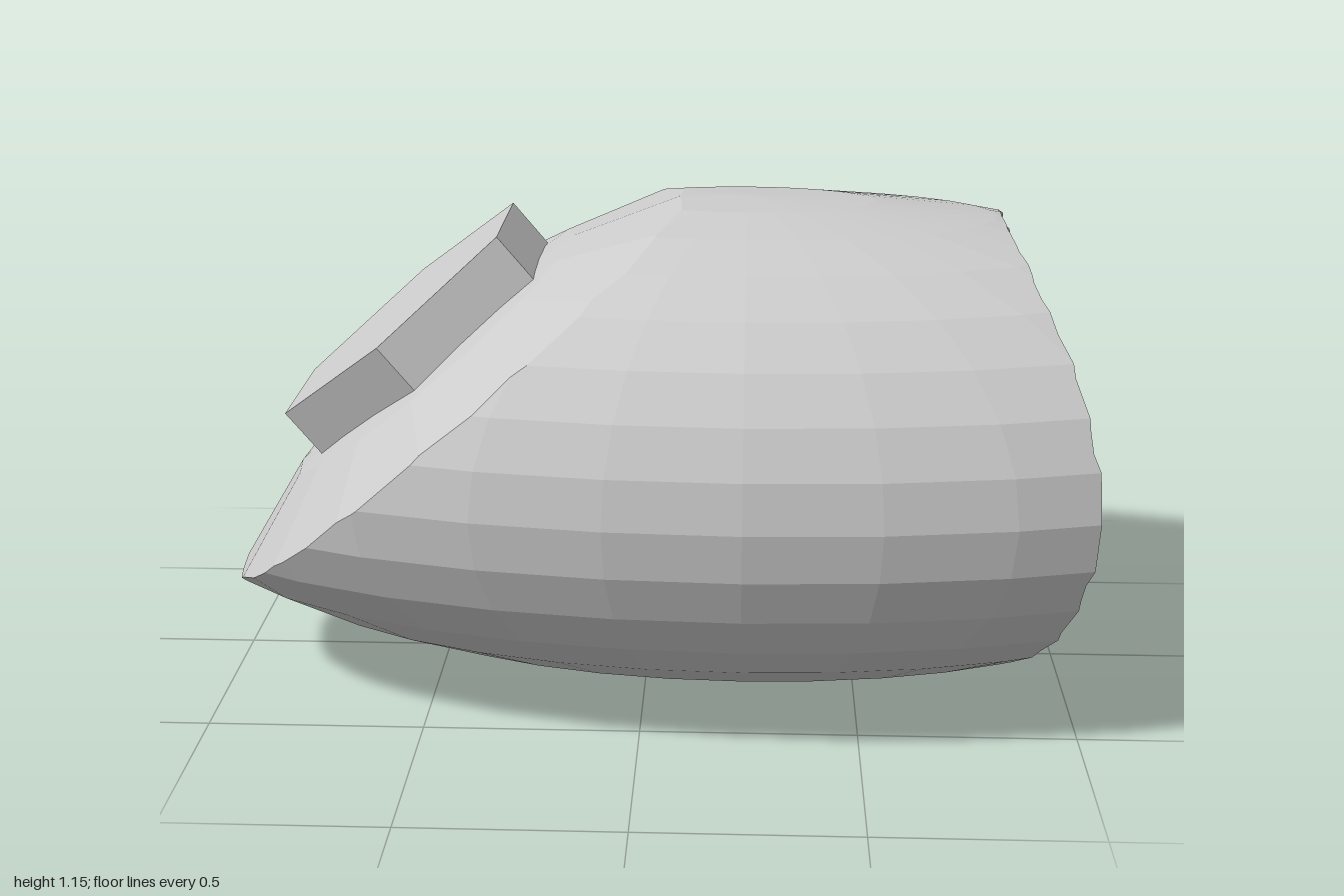
import * as THREE from 'three';

const R = 0.77;
const SLOPE = THREE.MathUtils.degToRad(40.2);
const EPS = 1e-6;

// Triangles of a geometry as a list of polygons, skipping degenerate ones
function toPolygons(geometry) {
  const g = geometry.index ? geometry.toNonIndexed() : geometry;
  const p = g.attributes.position;
  const polys = [];
  for (let i = 0; i < p.count; i += 3) {
    const t = [0, 1, 2].map(k => new THREE.Vector3().fromBufferAttribute(p, i + k));
    if (new THREE.Triangle(...t).getArea() > 1e-7) polys.push(t);
  }
  return polys;
}

const toPlanes = polys => polys.map(t => new THREE.Plane().setFromCoplanarPoints(t[0], t[1], t[2]));

// Split one polygon by a plane into its inner and outer part
function split(poly, plane) {
  const inner = [], outer = [];
  poly.forEach((a, i) => {
    const b = poly[(i + 1) % poly.length];
    const da = plane.distanceToPoint(a), db = plane.distanceToPoint(b);
    if (da <= EPS) inner.push(a);
    if (da >= -EPS) outer.push(a);
    if ((da < -EPS && db > EPS) || (da > EPS && db < -EPS)) {
      const m = a.clone().lerp(b, da / (da - db));
      inner.push(m);
      outer.push(m);
    }
  });
  const most = Math.max(...poly.map(v => plane.distanceToPoint(v)));
  const least = Math.min(...poly.map(v => plane.distanceToPoint(v)));
  return [least < -EPS || most <= EPS ? inner : [], most > EPS ? outer : []];
}

// Keep what lies inside a convex solid
function keepInside(polys, planes) {
  return planes.reduce(
    (list, plane) => list.map(p => split(p, plane)[0]).filter(p => p.length > 2), polys);
}

// Keep what lies outside a convex solid
function keepOutside(polys, planes) {
  const kept = [];
  for (const poly of polys) {
    if (planes.some(pl => poly.every(v => pl.distanceToPoint(v) >= -EPS))) {
      kept.push(poly);
      continue;
    }
    let rest = poly;
    for (const plane of planes) {
      const [inner, outer] = split(rest, plane);
      if (outer.length > 2) kept.push(outer);
      rest = inner;
      if (rest.length < 3) break;
    }
  }
  return kept;
}

// Fan the polygons back into a flat-shaded mesh
function toMesh(polys, name, flip = false) {
  const points = [];
  for (const p of polys) {
    for (let i = 1; i < p.length - 1; i++) {
      points.push(...(flip ? [p[0], p[i + 1], p[i]] : [p[0], p[i], p[i + 1]]));
    }
  }
  const geometry = new THREE.BufferGeometry().setFromPoints(points);
  geometry.computeVertexNormals();
  return makeMesh(geometry, name);
}

function makeMesh(geometry, name) {
  const material = new THREE.MeshStandardMaterial({
    color: 0xcccccc, flatShading: true, side: THREE.DoubleSide,
  });
  const mesh = new THREE.Mesh(geometry, material);
  mesh.name = name;
  return mesh;
}

export function createModel() {
  const group = new THREE.Group();
  group.name = 'hollowEndedPod';

  // Long, slightly flattened ellipsoid
  const body = toPolygons(new THREE.SphereGeometry(R, 32, 16)
    .scale(2, 0.75, 1).translate(0.23, 0.75 * R, 0));

  // Ball that hollows out the open end
  const dish = toPolygons(new THREE.SphereGeometry(R, 32, 16)
    .translate(0.23 + 1.5 * R, 0.75 * R, 0));

  // Shallow dome that closes the sloping end
  const capHeight = 0.6;
  const cap = toPolygons(new THREE.SphereGeometry(1, 16, 2, 0, Math.PI * 2, 0, Math.PI / 4)
    .scale(1.5 * R, capHeight, 1.5 * R)
    .translate(0, -capHeight, 0)
    .rotateZ(SLOPE)
    .translate(-0.545, 0.803, 0));

  const bodyPlanes = toPlanes(body);
  const shell = keepOutside(keepInside(body, toPlanes(cap)), toPlanes(dish));
  group.add(toMesh(shell, 'bodyShell'));
  group.add(toMesh(keepInside(cap, bodyPlanes), 'slopingCap'));
  group.add(toMesh(keepInside(dish, bodyPlanes), 'hollowEnd', true));

  // Six-sided plate on the sloping cap
  const plate = makeMesh(new THREE.CylinderGeometry(R / 2, R / 2, 0.2, 6)
    .translate(0, -0.1, 0), 'hexagonPlate');
  plate.rotation.z = SLOPE;
  plate.position.set(-0.597, 0.875, 0);
  group.add(plate);

  return group;
}
